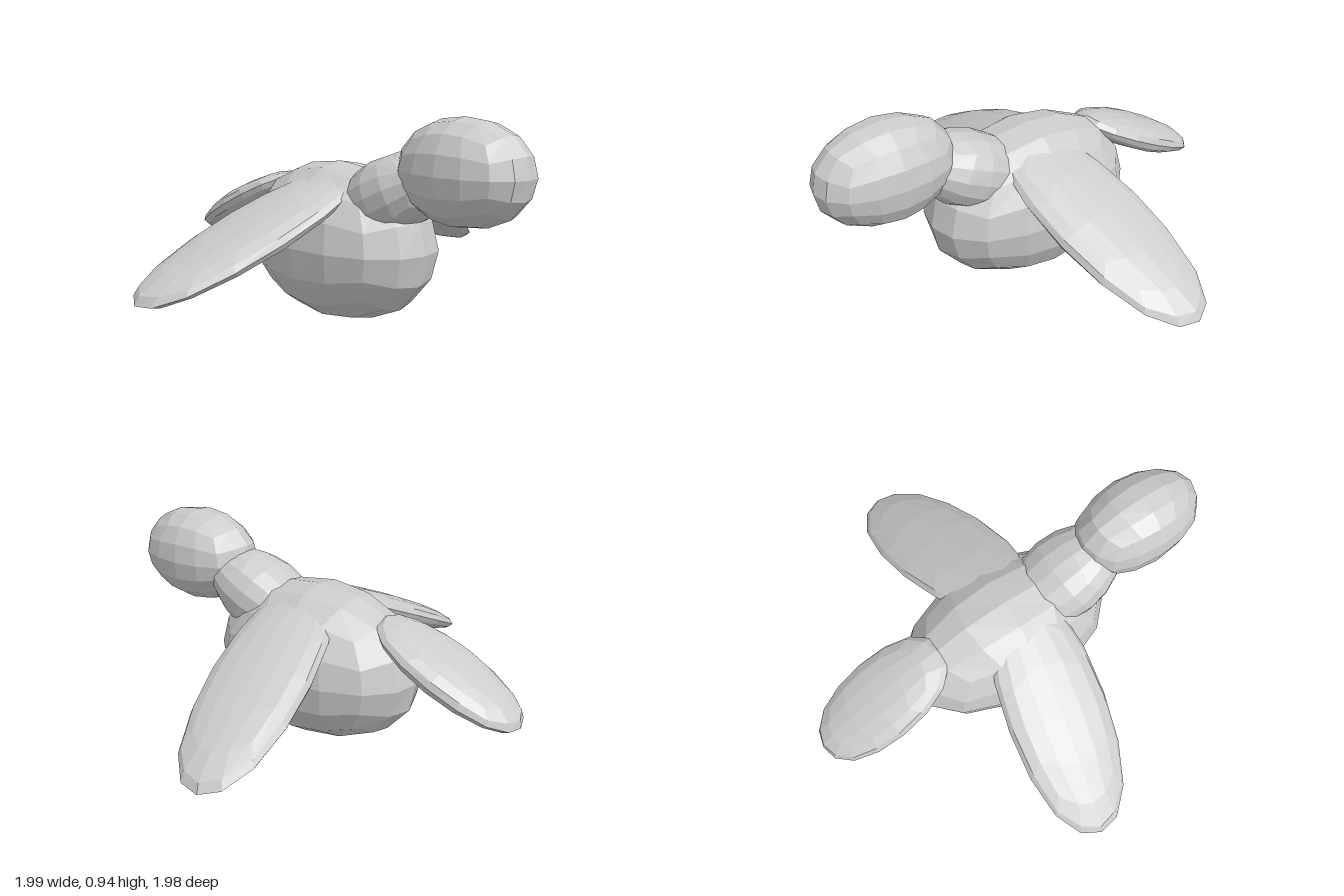
import * as THREE from 'three';

const material = new THREE.MeshStandardMaterial({ color: 0xcccccc, flatShading: true });
const deg = THREE.MathUtils.degToRad;

// A cube with 4x4 quads per side, rounded into a slightly boxy ball of radius 1
function roundedCube() {
  const geometry = new THREE.BoxGeometry(2, 2, 2, 4, 4, 4);
  const pos = geometry.attributes.position;
  const v = new THREE.Vector3();
  for (let i = 0; i < pos.count; i++) {
    v.fromBufferAttribute(pos, i);
    v.set(...v.toArray().map((c) => Math.tan((c * Math.PI) / 4))).normalize();
    const [a, b, c] = [v.x ** 2, v.y ** 2, v.z ** 2];
    v.multiplyScalar(1 + 0.14 * (a * b + b * c + c * a) - 1.12 * a * b * c);
    pos.setXYZ(i, v.x, v.y, v.z);
  }
  geometry.computeVertexNormals();
  return geometry;
}

export function createModel() {
  const group = new THREE.Group();
  const ball = roundedCube();

  // Adds one stretched ball; angles in degrees
  function part(name, center, radii, [rx, ry, rz] = [0, 0, 0]) {
    const mesh = new THREE.Mesh(ball, material);
    mesh.name = name;
    mesh.position.set(...center);
    mesh.scale.set(...radii);
    mesh.rotation.set(deg(rx), deg(ry), deg(rz), 'ZYX');
    group.add(mesh);
  }

  part('body', [0, 0.358, -0.008], [0.312, 0.357, 0.505]);
  part('head', [0, 0.727, 0.686], [0.193, 0.219, 0.305]);
  // Neck rises toward the head, tail drops toward the back
  part('neck', [0, 0.598, 0.312], [0.192, 0.165, 0.275], [-25, 0, 0]);
  part('tail', [0, 0.458, -0.655], [0.192, 0.075, 0.37], [-26, 0, 0]);

  // Wings swept back and drooping outward
  for (const side of [1, -1]) {
    part(side > 0 ? 'leftWing' : 'rightWing',
      [side * 0.476, 0.452, -0.04], [0.58, 0.07, 0.232], [0, side * 10, side * -24.7]);
  }
  return group;
}
